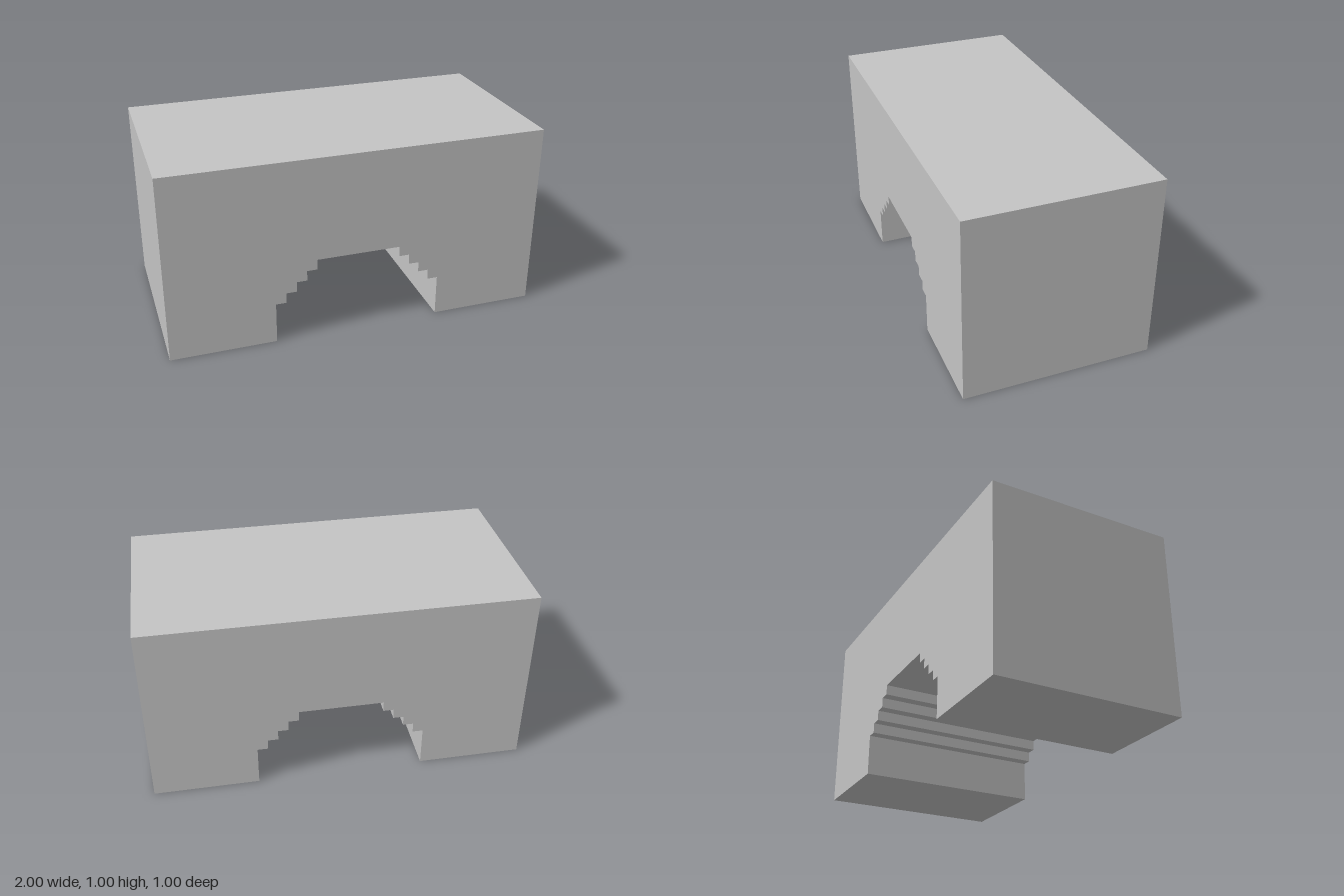
import * as THREE from 'three';

export function createModel() {
  const group = new THREE.Group();
  group.name = 'steppedArchBlock';

  const stone = new THREE.MeshStandardMaterial({ color: 0xc4c4c4 });
  stone.name = 'light stone grey';

  // Right half of the stepped opening, from the crown down to the ground
  const unit = 1 / 18;
  const steps = [];
  for (let i = 4; i >= 0; i--) {
    const x = (8 - i) * unit;
    const y = (4 + i) * unit;
    steps.push([x, y]);
    steps.push([x, i > 0 ? y - unit : 0]);
  }

  // Block outline with the opening mirrored across x = 0
  const mirrored = steps.map(([x, y]) => [-x, y]).reverse();
  const outline = [[1, 0], [1, 1], [-1, 1], [-1, 0], ...mirrored, ...steps];
  const shape = new THREE.Shape(outline.map(([x, y]) => new THREE.Vector2(x, y)));

  const geometry = new THREE.ExtrudeGeometry(shape, { depth: 1, bevelEnabled: false });
  geometry.translate(0, 0, -0.5);

  const block = new THREE.Mesh(geometry, stone);
  block.name = 'archBlock';
  group.add(block);
  return group;
}
